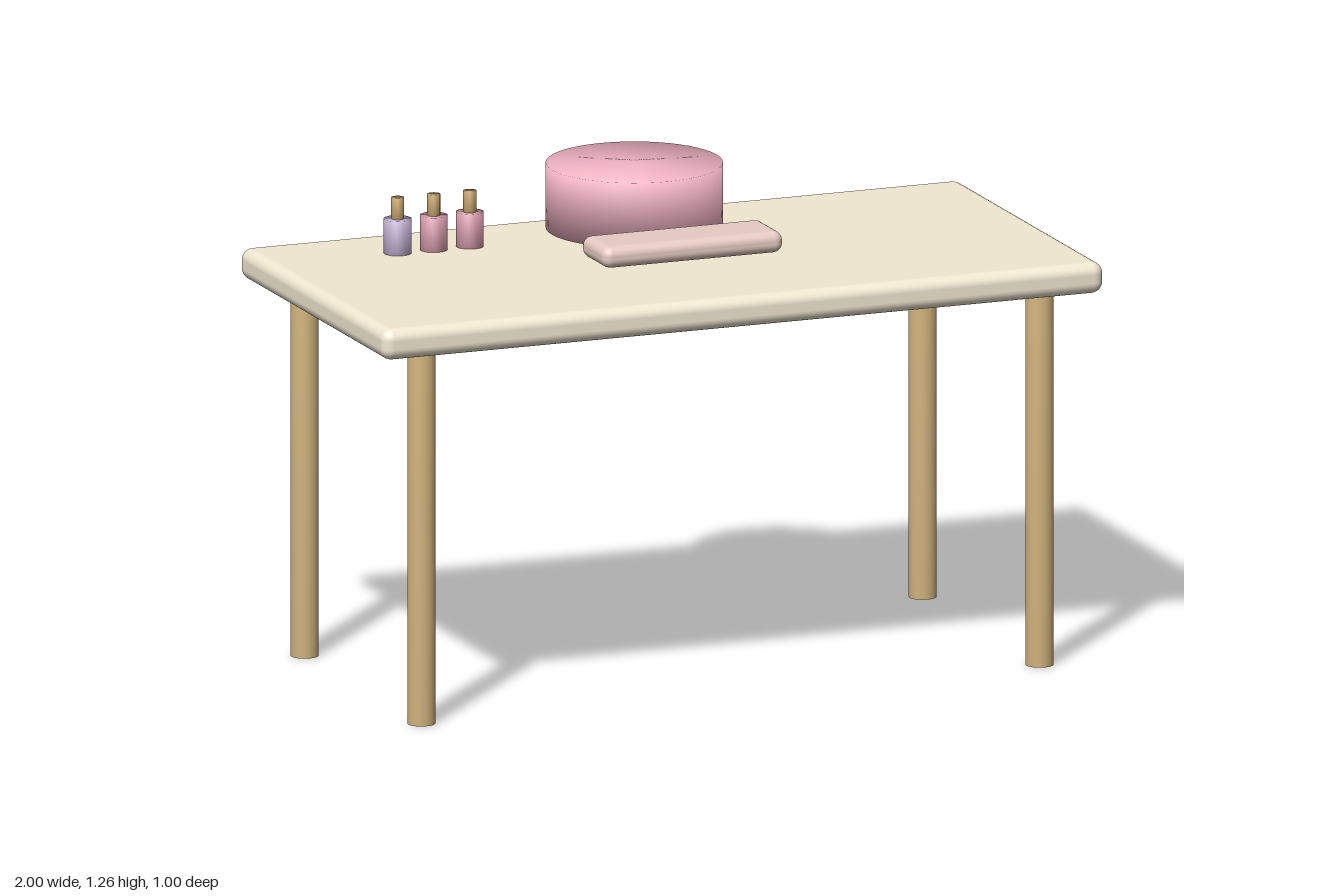
import * as THREE from 'three';
import { RoundedBoxGeometry } from 'three/addons/geometries/RoundedBoxGeometry.js';

const paint = (color) => new THREE.MeshStandardMaterial({ color });
const cream = paint(0xf2e8d2);
const wood = paint(0xd2b47e);
const pink = paint(0xf2b4c4);
const blush = paint(0xe6cbc3);
const lavender = paint(0xc6b4d6);
const rose = paint(0xdca0b0);
const gold = paint(0xc8a870);

export function createModel() {
  const model = new THREE.Group();
  model.name = 'manicureTable';

  function add(name, geometry, material, x, y, z, parent = model) {
    const mesh = new THREE.Mesh(geometry, material);
    mesh.name = name;
    mesh.position.set(x, y, z);
    parent.add(mesh);
    return mesh;
  }

  // Closed drum standing on its base, with normals blended over the rims
  const drum = (r, h, sides = 32) => new THREE.LatheGeometry(
    [[0, 0], [r, 0], [r, h], [0, h]].map(([x, y]) => new THREE.Vector2(x, y)), sides);

  // Table top with softened edges
  add('tableTop', new RoundedBoxGeometry(2, 0.082, 1, 4, 0.03), cream, 0, 1.03, 0);

  // Four round legs
  const leg = drum(0.036, 0.99);
  for (const [side, x] of [['left', 0.857], ['right', -0.857]]) {
    for (const [end, z] of [['Front', 0.4], ['Back', -0.4]]) {
      add(side + end + 'Leg', leg, wood, x, 0, z);
    }
  }

  // Round lamp housing and hand rest, both slightly clear of the top
  add('lampHousing', drum(0.228, 0.171, 48), pink, 0, 1.087, -0.258);
  add('handRest', new RoundedBoxGeometry(0.5, 0.057, 0.167, 4, 0.025), blush, 0, 1.116, 0.072);

  // Row of polish bottles with slim caps
  const body = drum(0.036, 0.092, 24);
  const cap = drum(0.017, 0.057, 16);
  [lavender, rose, rose].forEach((material, i) => {
    const bottle = new THREE.Group();
    bottle.name = 'polishBottle' + (i + 1);
    bottle.position.set(-0.645 + 0.1 * i, 1.07, -0.286);
    add('bottleBody', body, material, 0, 0, 0, bottle);
    add('bottleCap', cap, gold, 0, 0.091, 0, bottle);
    model.add(bottle);
  });

  return model;
}
